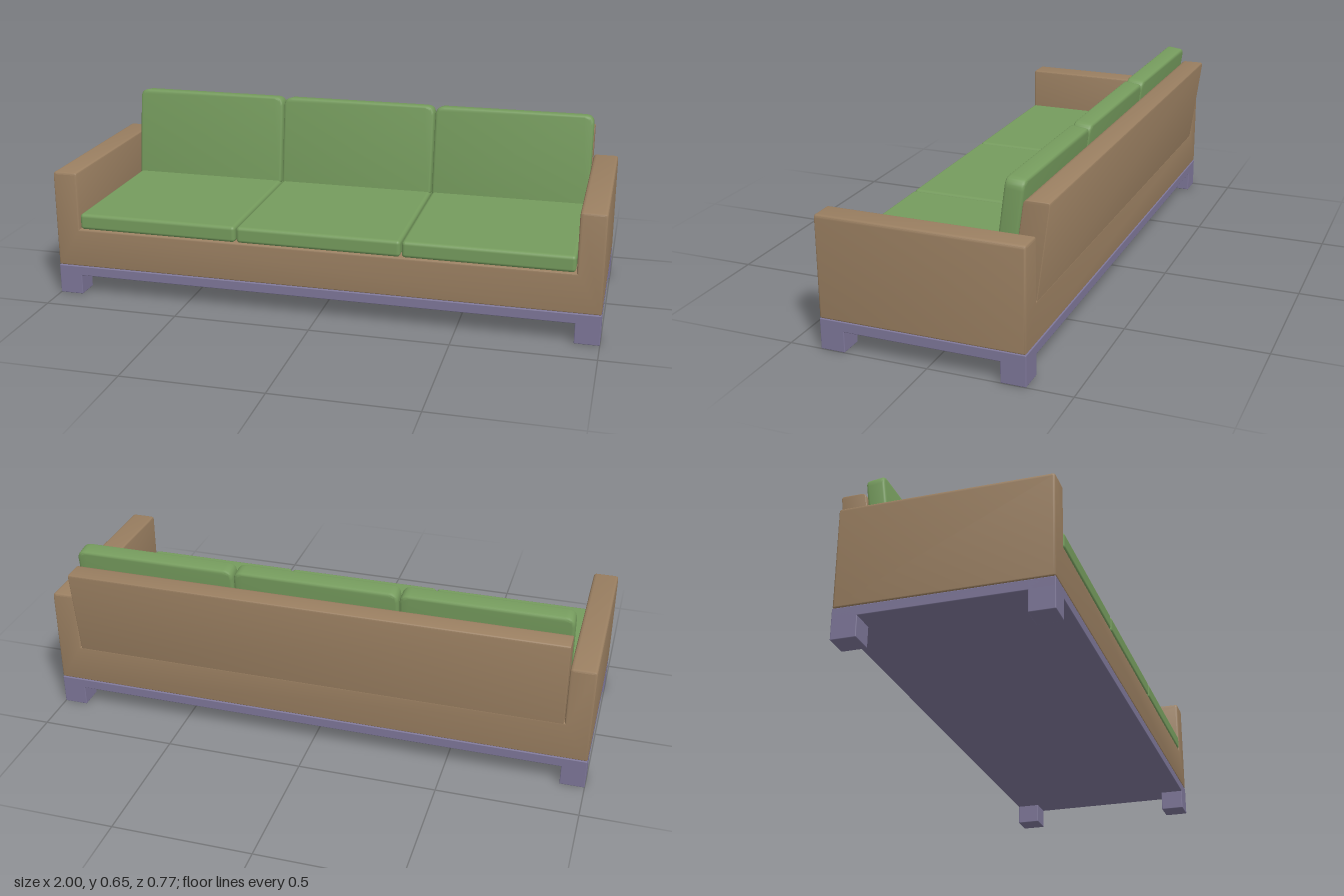
import * as THREE from 'three';
import { toCreasedNormals } from 'three/addons/utils/BufferGeometryUtils.js';
import { RoundedBoxGeometry } from 'three/addons/geometries/RoundedBoxGeometry.js';

const brown = new THREE.MeshStandardMaterial({ color: 0x9a7f61 });
const green = new THREE.MeshStandardMaterial({ color: 0x759b5d });
const purple = new THREE.MeshStandardMaterial({ color: 0x7d7698 });

// Polygon from [x, y, cornerRadius] points, counter-clockwise
function roundedShape(points) {
  const shape = new THREE.Shape();
  points.forEach(([x, y, r = 0], i) => {
    const p = new THREE.Vector2(x, y);
    const toward = (q) => new THREE.Vector2(q[0], q[1]).sub(p).setLength(r).add(p);
    const a = toward(points.at(i - 1));
    const b = toward(points[(i + 1) % points.length]);
    if (i === 0) shape.moveTo(a.x, a.y);
    else shape.lineTo(a.x, a.y);
    if (r > 0) shape.quadraticCurveTo(x, y, b.x, b.y);
  });
  shape.closePath();
  return shape;
}

// Extrusion centred on z = 0 whose bevel stays inside the outline
function extrude(shape, depth, bevel) {
  const geometry = new THREE.ExtrudeGeometry(shape, {
    depth: depth - 2 * bevel, curveSegments: 5, bevelEnabled: true,
    bevelSize: bevel, bevelThickness: bevel, bevelOffset: -bevel, bevelSegments: 3,
  });
  geometry.translate(0, 0, bevel - depth / 2);
  return toCreasedNormals(geometry, 0.6);
}

export function createModel() {
  const group = new THREE.Group();
  const add = (name, geometry, material, x, y, z) => {
    const mesh = new THREE.Mesh(geometry, material);
    mesh.name = name;
    mesh.position.set(x, y, z);
    group.add(mesh);
    return mesh;
  };
  const front = 0.385, rear = -0.342;
  const depth = front - rear, midZ = (front + rear) / 2;

  // Base plate and four block legs
  add('basePlate', new RoundedBoxGeometry(2, 0.036, depth, 2, 0.003), purple, 0, 0.092, midZ);
  const legSize = 0.088;
  for (const side of [-1, 1]) {
    for (const z of [front - legSize / 2, rear + legSize / 2]) {
      add('leg', new RoundedBoxGeometry(legSize, 0.106, legSize, 2, 0.003), purple,
        side * (1 - legSize / 2), 0.053, z);
    }
  }

  // Seat platform and arms in one U-shaped frame
  const frame = roundedShape([
    [-1, 0.111, 0.006], [1, 0.111, 0.006], [1, 0.473, 0.012], [0.908, 0.473, 0.012],
    [0.908, 0.257], [-0.908, 0.257], [-0.908, 0.473, 0.012], [-1, 0.473, 0.012],
  ]);
  add('frameWithArms', extrude(frame, depth, 0.008), brown, 0, 0, midZ);

  // Backrest: side profile in (-z, y), leaning backwards
  const backProfile = roundedShape([
    [0.248, 0.235], [0.339, 0.235], [0.385, 0.583, 0.012], [0.297, 0.583, 0.016],
  ]);
  add('backrest', extrude(backProfile, 1.812, 0.003), brown, 0, 0, 0).rotation.y = Math.PI / 2;

  // Three seat cushions, each with a tilted back cushion
  const pitch = 0.605, width = 0.6, tilt = 0.133;
  const backHeight = 0.345, backDepth = 0.066;
  const w = width / 2;
  const pillow = roundedShape([
    [-w, 0, 0.012], [w, 0, 0.012], [w, backHeight, 0.034], [-w, backHeight, 0.034],
  ]);
  const seatRear = -0.255;
  for (let i = -1; i <= 1; i++) {
    add('seatCushion', new RoundedBoxGeometry(width, 0.06, front - seatRear, 4, 0.013), green,
      i * pitch, 0.287, (front + seatRear) / 2);
    add('backCushion', extrude(pillow, backDepth, 0.01), green,
      i * pitch, 0.302, -0.19 - backDepth / 2).rotation.x = -tilt;
  }
  return group;
}
